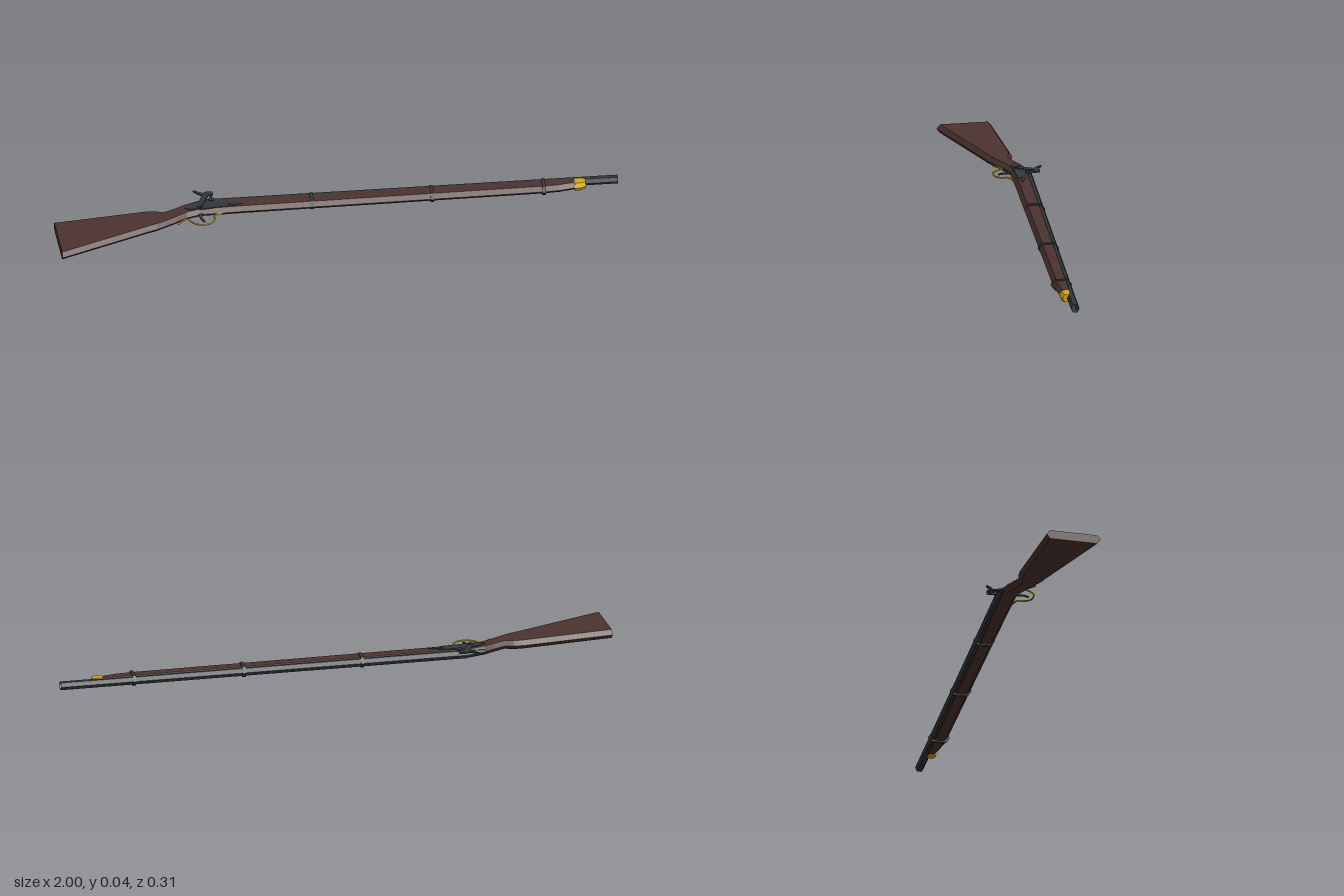
import * as THREE from 'three';

const mat = (color) => new THREE.MeshStandardMaterial({ color, flatShading: true, side: THREE.DoubleSide });
const MID = 0.02; // height of the centre plane; the gun lies on its side

// Hexagonal loft along x. Section: [x, top, bottom, half width, bevel, shift of x at the bottom]
// "top" and "bottom" are measured towards the gun's own up, which is -z.
function loft(sections) {
  const rings = sections.map(([x, t, b, w, bev = 0.013, dx = 0]) => [
    [t, 0], [t - bev, w], [b + bev, w], [b, 0], [b + bev, -w], [t - bev, -w],
  ].map(([s, y]) => [x + dx * (t - s) / (t - b), MID + y, -s]));
  const pos = [];
  const tri = (a, b, c) => pos.push(...a, ...b, ...c);
  for (let i = 0; i < rings.length - 1; i++) {
    for (let j = 0; j < 6; j++) {
      const k = (j + 1) % 6, p = rings[i], q = rings[i + 1];
      tri(p[j], p[k], q[j]);
      tri(p[k], q[k], q[j]);
    }
  }
  const first = rings[0], last = rings[rings.length - 1];
  for (let j = 1; j < 5; j++) {
    tri(first[0], first[j + 1], first[j]);
    tri(last[0], last[j], last[j + 1]);
  }
  const g = new THREE.BufferGeometry();
  g.setAttribute('position', new THREE.Float32BufferAttribute(pos, 3));
  g.computeVertexNormals();
  return g;
}

// Flat plate from an outline of [x, up] points, from height y0 to y1
function plate(points, y0, y1) {
  const shape = new THREE.Shape(points.map(([x, s]) => new THREE.Vector2(x, s)));
  const g = new THREE.ExtrudeGeometry(shape, { depth: y1 - y0, bevelEnabled: false });
  return g.rotateX(-Math.PI / 2).translate(0, y0, 0);
}

// Upright disc on the lock side
const disc = (x, s, r, y0, y1) =>
  new THREE.CylinderGeometry(r, r, y1 - y0, 8).translate(x, (y0 + y1) / 2, -s);

export function createModel() {
  const group = new THREE.Group();
  const wood = mat(0x4b332f), steel = mat(0x33383a), brass = mat(0xd4a912);
  const add = (name, geometry, material) => {
    const mesh = new THREE.Mesh(geometry, material);
    mesh.name = name;
    group.add(mesh);
    return mesh;
  };

  // Butt, wrist and fore-end in one piece
  add('stock', loft([
    [-1, 0.04, -0.157, 0.016, 0.013, 0.012],
    [-0.67, 0.073, -0.036, 0.016],
    [-0.64, 0.071, -0.026, 0.016],
    [-0.61, 0.063, -0.012, 0.0155],
    [-0.57, 0.08, 0.008, 0.0155],
    [-0.53, 0.1, 0.03, 0.016],
    [-0.48, 0.114, 0.044, 0.016],
    [-0.33, 0.114, 0.047, 0.016],
    [0.735, 0.114, 0.055, 0.016],
    [0.79, 0.114, 0.058, 0.016],
    [0.85, 0.114, 0.068, 0.015],
  ]), wood);

  // Six-sided open barrel
  add('barrel', new THREE.CylinderGeometry(0.0155, 0.0165, 1.46, 6, 1, true)
    .rotateZ(-Math.PI / 2).translate(0.27, MID, -0.104), steel);
  add('breechTang', loft([
    [-0.53, 0.103, 0.085, 0.006, 0.004],
    [-0.46, 0.12, 0.088, 0.0143, 0.008],
    [-0.43, 0.121, 0.088, 0.0145, 0.008],
  ]), steel);

  // Nose cap
  add('noseCap', loft([
    [0.845, 0.108, 0.064, 0.0165, 0.008],
    [0.868, 0.108, 0.066, 0.0165, 0.008],
    [0.884, 0.104, 0.073, 0.0145, 0.008],
  ]), brass);

  // Barrel bands
  for (const x of [-0.085, 0.34, 0.735]) {
    add('barrelBand', loft([-0.006, 0.006].map((d) => [x + d, 0.123, 0.048, 0.0195, 0.014])), steel);
  }

  // Lock plate, screws and bolster
  add('lockPlate', plate([
    [-0.535, 0.064], [-0.51, 0.082], [-0.46, 0.096], [-0.39, 0.092],
    [-0.33, 0.072], [-0.39, 0.06], [-0.47, 0.055], [-0.515, 0.054],
  ], 0.032, 0.0385), steel);
  add('hammerScrew', disc(-0.482, 0.068, 0.008, 0.036, 0.044), steel);
  add('lockScrew', disc(-0.375, 0.074, 0.005, 0.036, 0.041), steel);
  add('bolster', disc(-0.437, 0.104, 0.01, 0.024, 0.041), steel);
  add('nipple', new THREE.CylinderGeometry(0.004, 0.005, 0.024, 6)
    .rotateX(-Math.PI / 2).translate(-0.437, 0.037, -0.122), steel);

  // Hammer with its spur and striking head
  add('hammer', plate([
    [-0.492, 0.06], [-0.472, 0.06], [-0.466, 0.085], [-0.452, 0.112], [-0.446, 0.126],
    [-0.428, 0.13], [-0.43, 0.144], [-0.448, 0.148], [-0.464, 0.141], [-0.476, 0.146],
    [-0.49, 0.158], [-0.498, 0.156], [-0.484, 0.139], [-0.468, 0.127], [-0.476, 0.106],
    [-0.488, 0.086],
  ], 0.0365, 0.0415), steel);

  // Trigger guard loop and trigger
  const guard = new THREE.CatmullRomCurve3([
    [-0.565, -0.005], [-0.53, 0.022], [-0.517, 0.005], [-0.5, -0.01], [-0.475, -0.016],
    [-0.448, -0.01], [-0.434, 0.008], [-0.432, 0.034], [-0.4, 0.046],
  ].map(([x, s]) => new THREE.Vector3(x, MID + 0.001, -s)));
  add('triggerGuard', new THREE.TubeGeometry(guard, 28, 0.0032, 5), brass);
  add('trigger', plate([
    [-0.488, 0.05], [-0.472, 0.05], [-0.476, 0.022], [-0.468, 0.002], [-0.474, 0.001],
    [-0.484, 0.02],
  ], MID - 0.002, MID + 0.003), steel);

  return group;
}
